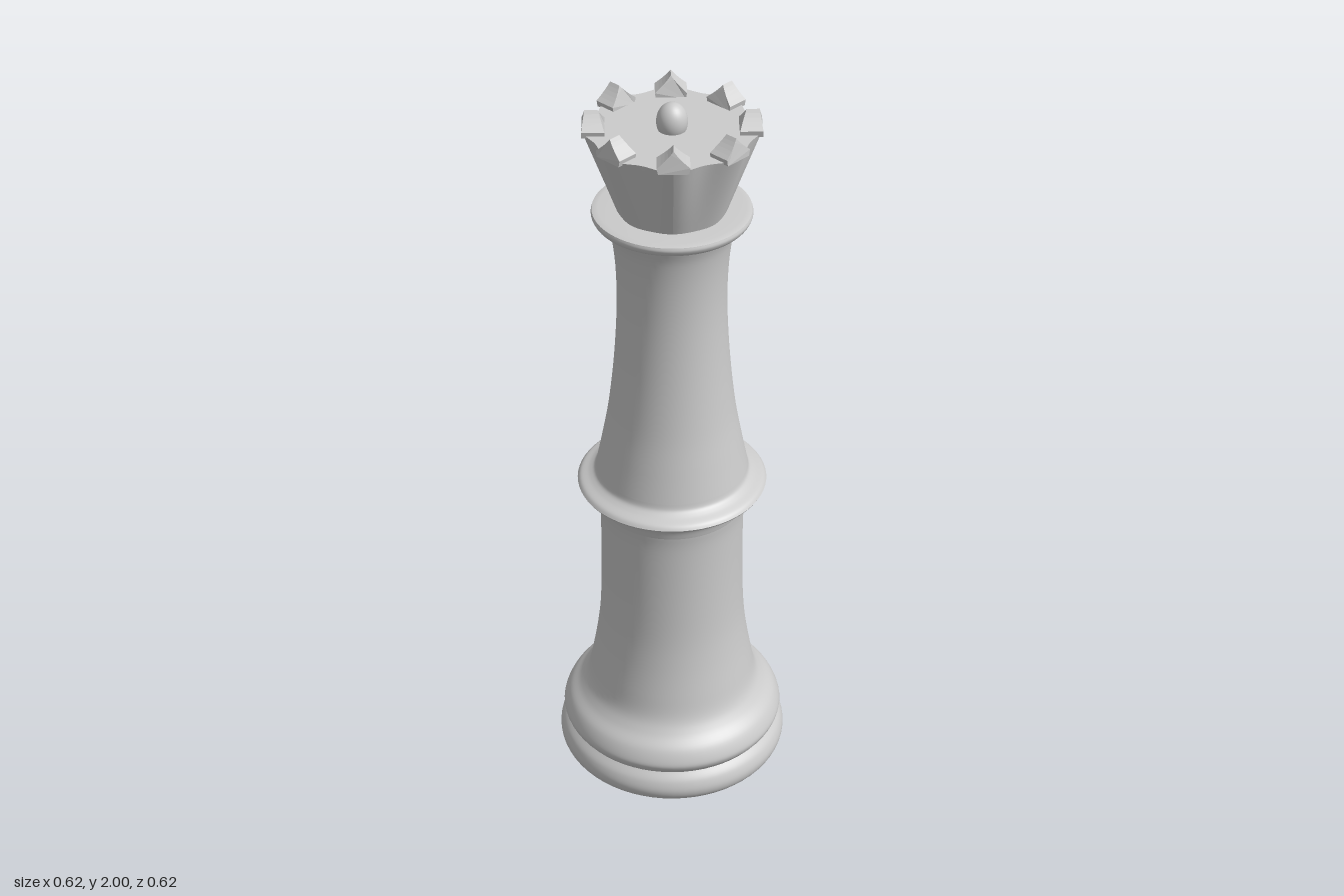
import * as THREE from 'three';

const material = new THREE.MeshStandardMaterial({ color: 0xcccccc, side: THREE.DoubleSide });
const TEETH = 8;

function part(name, geometry, parent) {
  const mesh = new THREE.Mesh(geometry, material);
  mesh.name = name;
  parent.add(mesh);
  return mesh;
}

// Smooth turned section through [radius, height] points, bottom to top
function turned(name, points, parent) {
  const curve = new THREE.SplineCurve(points.map(([r, y]) => new THREE.Vector2(r, y)));
  const profile = curve.getPoints(points.length * 5);
  profile.forEach((p) => { p.x = Math.max(p.x, 0); });
  return part(name, new THREE.LatheGeometry(profile, 64), parent);
}

// Pull the wall in between the teeth, more strongly towards the rim
function flute(geometry, strength) {
  const pos = geometry.attributes.position;
  for (let i = 0; i < pos.count; i++) {
    const x = pos.getX(i), z = pos.getZ(i);
    const valley = 0.5 - 0.5 * Math.cos(TEETH * Math.atan2(z, x));
    const k = 1 - strength(pos.getY(i)) * valley;
    pos.setX(i, x * k);
    pos.setZ(i, z * k);
  }
  geometry.computeVertexNormals();
  return geometry;
}

// Gabled tooth: wide foot, short radial ridge, outer side facing +z
function toothGeometry() {
  const shape = new THREE.Shape();
  shape.moveTo(-0.036, 0);
  shape.lineTo(0.036, 0);
  shape.lineTo(0.039, 0.016);
  shape.quadraticCurveTo(0.014, 0.036, 0, 0.056);
  shape.quadraticCurveTo(-0.014, 0.036, -0.039, 0.016);
  shape.closePath();
  const geometry = new THREE.ExtrudeGeometry(shape, { depth: 0.055, bevelEnabled: false, curveSegments: 5 });
  const pos = geometry.attributes.position;
  for (let i = 0; i < pos.count; i++) {
    const up = Math.max(0, pos.getY(i) - 0.016) / 0.04;
    const inner = pos.getZ(i) < 0.02;
    pos.setZ(i, pos.getZ(i) + 0.16 + (inner ? 0.016 : -0.008) * up);
  }
  geometry.computeVertexNormals();
  return geometry;
}

export function createModel() {
  const model = new THREE.Group();
  model.name = 'chessPiece';

  // Foot with two stacked rolls
  part('footUnderside', new THREE.LatheGeometry(
    [[0, 0], [0.14, 0.005], [0.22, 0.018]].map(([r, y]) => new THREE.Vector2(r, y)), 64), model);
  turned('lowerRoll', [[0.22, 0.018], [0.265, 0.034], [0.298, 0.06], [0.308, 0.088], [0.3, 0.118], [0.282, 0.14]], model);
  turned('upperRoll', [[0.282, 0.14], [0.294, 0.158], [0.296, 0.178], [0.28, 0.212], [0.25, 0.243], [0.228, 0.28],
    [0.214, 0.345], [0.2, 0.43], [0.191, 0.52], [0.187, 0.65], [0.187, 0.8], [0.191, 0.855]], model);

  // Waist ring
  turned('waistRingUnderside', [[0.191, 0.855], [0.2, 0.884], [0.222, 0.903], [0.24, 0.914], [0.245, 0.921]], model);
  turned('waistRingTop', [[0.245, 0.921], [0.236, 0.931], [0.214, 0.941], [0.2, 0.952], [0.195, 0.97]], model);

  // Tapering upper column
  turned('upperColumn', [[0.195, 0.97], [0.18, 1.045], [0.163, 1.14], [0.149, 1.26], [0.14, 1.38], [0.137, 1.48],
    [0.14, 1.57], [0.148, 1.64], [0.159, 1.68]], model);

  // Collar below the crown
  turned('collarUnderside', [[0.159, 1.68], [0.175, 1.687], [0.19, 1.695], [0.197, 1.708], [0.195, 1.718]], model);
  part('collarTop', new THREE.LatheGeometry(
    [[0.195, 1.718], [0.18, 1.722], [0.12, 1.722]].map(([r, y]) => new THREE.Vector2(r, y)), 64), model);

  // Fluted, flaring crown with a flat floor
  const crown = new THREE.Group();
  crown.name = 'crown';
  model.add(crown);
  const wall = new THREE.CylinderGeometry(0.215, 0.135, 0.212, 96, 8, true);
  wall.translate(0, 1.826, 0);
  part('crownWall', flute(wall, (y) => 0.02 + 0.07 * (y - 1.72) / 0.212), crown);
  const floor = new THREE.CircleGeometry(0.215, 96);
  floor.rotateX(-Math.PI / 2);
  floor.translate(0, 1.932, 0);
  part('crownFloor', flute(floor, () => 0.09), crown);

  // Ring of teeth
  const tooth = toothGeometry();
  for (let i = 0; i < TEETH; i++) {
    const mesh = part('crownTooth', tooth, crown);
    mesh.position.y = 1.927;
    mesh.rotation.y = (i * 2 * Math.PI) / TEETH;
  }

  // Finial in the middle
  const finial = part('finial', new THREE.SphereGeometry(0.038, 32, 20), crown);
  finial.scale.y = 1.25;
  finial.position.y = 1.9525;

  return model;
}
